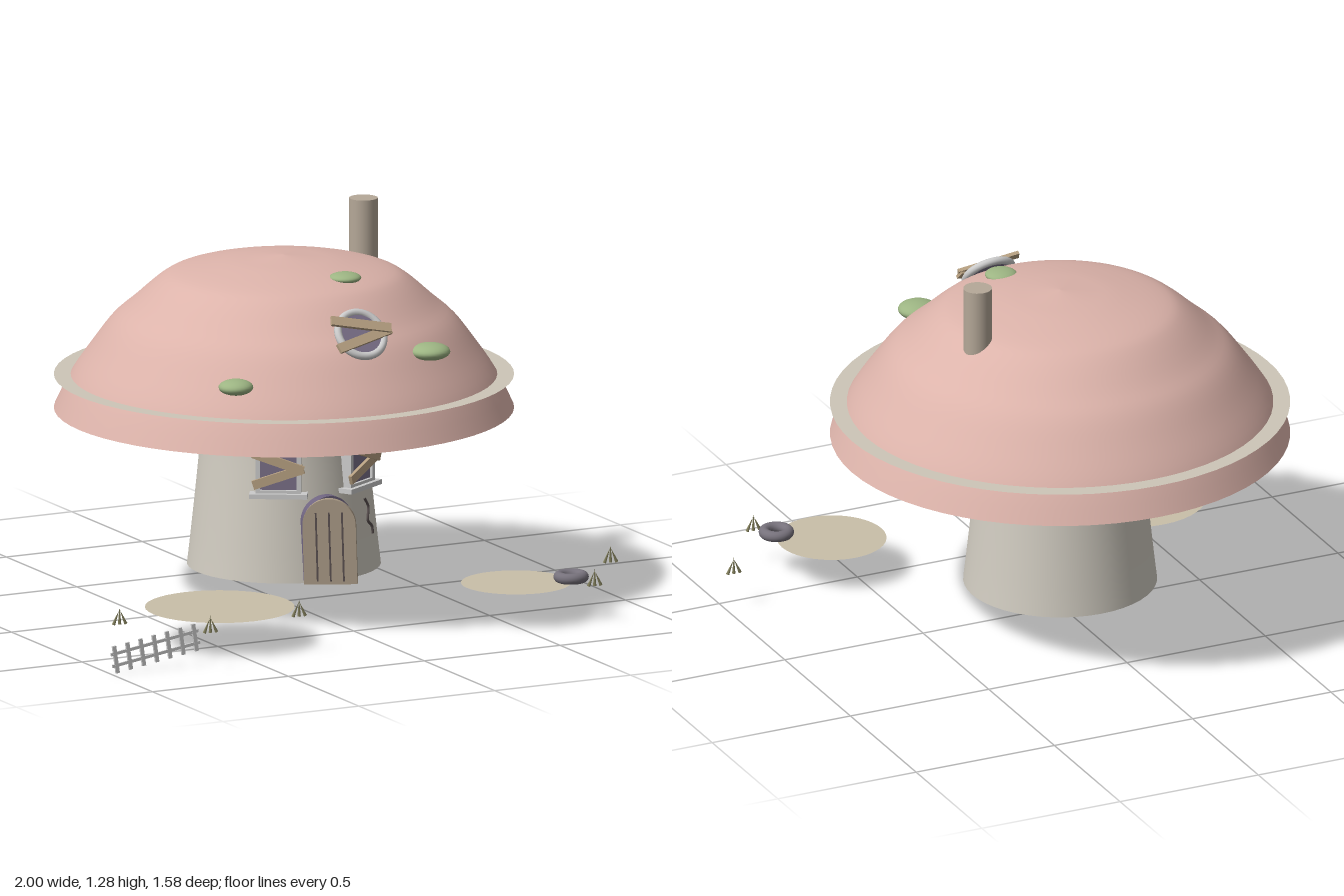
import * as THREE from 'three';

const mat = (color, double = false) =>
  new THREE.MeshStandardMaterial({ color, side: double ? THREE.DoubleSide : THREE.FrontSide });
const M = {
  cap: mat(0xdcb3aa, true), gill: mat(0xcdc6b8, true), stem: mat(0xd0cbc0, true), stone: mat(0xb5a898),
  moss: mat(0x9db583), grey: mat(0xcccccc), glass: mat(0x7a7088), plank: mat(0xb8a182),
  door: mat(0xaa9a86), doorway: mat(0x6f6480), dark: mat(0x5a5050), dirt: mat(0xc9bfa9, true),
  rubber: mat(0x77727c), grass: mat(0x86835f),
};
const CX = 0.022, CZ = -0.037, GROUND = 0.125;

function add(parent, name, geo, material, pos = [0, 0, 0], rot = [0, 0, 0]) {
  const m = new THREE.Mesh(geo, material);
  m.name = name;
  m.position.set(...pos);
  m.rotation.set(...rot);
  parent.add(m);
  return m;
}

function group(parent, name, pos = [0, 0, 0], rot = [0, 0, 0]) {
  const g = new THREE.Group();
  g.name = name;
  g.position.set(...pos);
  g.rotation.set(...rot);
  parent.add(g);
  return g;
}

const box = (x, y, z) => new THREE.BoxGeometry(x, y, z);

// Smooth surface of revolution from [radius, height] points
function lathe(points, segments) {
  const curve = new THREE.SplineCurve(points.map(p => new THREE.Vector2(...p)));
  return new THREE.LatheGeometry(curve.getPoints(36).map(p => p.setX(Math.max(p.x, 0))), segments);
}

// Round-topped slab standing on y = 0, from x = 0 to x = width
function archSlab(width, height, depth) {
  const r = width / 2, s = new THREE.Shape();
  s.moveTo(0, 0);
  s.lineTo(width, 0);
  s.lineTo(width, height - r);
  s.absarc(r, height - r, r, 0, Math.PI, false);
  s.lineTo(0, 0);
  return new THREE.ExtrudeGeometry(s, { depth, bevelEnabled: false, curveSegments: 20 });
}

// Two crossed boards that meet towards the right
function boards(parent, length, width, spread, angle, z) {
  for (const s of [1, -1])
    add(parent, 'board', box(length, width, 0.012), M.plank, [0, s * spread, z + s * 0.004], [0, 0, -s * angle]);
}

function addWindow(house, angle) {
  const pivot = group(house, 'window', [CX, 0.505, CZ], [0, angle, 0]);
  const w = group(pivot, 'windowParts', [0, 0, 0.283]);
  add(w, 'glass', box(0.13, 0.16, 0.03), M.glass, [0, 0, -0.005]);
  for (const s of [1, -1]) {
    add(w, 'frameSide', box(0.014, 0.17, 0.04), M.grey, [s * 0.067, 0, 0]);
    add(w, 'frameRail', box(0.148, 0.014, 0.04), M.grey, [0, s * 0.079, 0]);
  }
  add(w, 'sill', box(0.19, 0.016, 0.06), M.grey, [0, -0.09, 0.005]);
  boards(w, 0.175, 0.03, 0.026, 0.33, 0.028);
}

// Crack drawn on the stem from [angle, radius, height] points
function addCrack(house, points) {
  const pts = points.map(([a, r, y]) => new THREE.Vector3(CX + r * Math.sin(a), y, CZ + r * Math.cos(a)));
  add(house, 'crack', new THREE.TubeGeometry(new THREE.CatmullRomCurve3(pts), 24, 0.005, 6), M.dark);
}

function addGrass(parent, x, z) {
  const g = group(parent, 'grassTuft', [x, GROUND, z]);
  for (const s of [-1, 0, 1])
    add(g, 'blade', new THREE.ConeGeometry(0.006, s ? 0.052 : 0.06, 5), M.grass,
      [s * 0.012, s ? 0.024 : 0.03, 0], [0, 0, s * 0.42]);
}

export function createModel() {
  const model = new THREE.Group();
  model.name = 'mushroomHouse';
  const house = group(model, 'house');

  // Cap, with a flat gill disc that stands proud of it as a rim
  add(house, 'cap', lathe([[0.752, 0.645], [0.697, 0.757], [0.63, 0.855], [0.565, 0.94], [0.5, 0.997],
    [0.41, 1.075], [0.34, 1.108], [0.2, 1.136], [0.1, 1.147], [0, 1.156]], 64), M.cap, [CX, 0, CZ]);
  add(house, 'gillDisc', new THREE.CircleGeometry(0.752, 64), M.gill, [CX, 0.757, CZ], [-Math.PI / 2, 0, 0]);

  // Hollow stem, open below
  add(house, 'stem', lathe([[0.317, GROUND], [0.306, 0.22], [0.287, 0.4], [0.273, 0.55],
    [0.27, 0.645], [0.28, 0.757]], 48), M.stem, [CX, 0, CZ]);

  add(house, 'chimney', new THREE.CylinderGeometry(0.047, 0.047, 0.28, 24), M.stone, [0.382, 1.143, -0.167]);

  // Flat moss pads half sunk into the cap
  for (const [x, y, z, r, h] of [[-0.405, 0.852, 0.445, 0.057, 0.026], [0.275, 0.915, 0.512, 0.066, 0.028],
    [0.11, 1.122, 0.227, 0.053, 0.018]])
    add(house, 'mossPad', new THREE.SphereGeometry(r, 24, 16), M.moss, [x, y, z]).scale.y = h / r;

  // Round boarded window on the cap
  const round = group(house, 'roundWindow', [CX, 0.997, 0.508], [-0.67, 0, 0]);
  add(round, 'ring', new THREE.TorusGeometry(0.08, 0.013, 12, 40), M.grey);
  add(round, 'pane', new THREE.CylinderGeometry(0.08, 0.08, 0.012, 32), M.glass, [0, 0, 0], [Math.PI / 2, 0, 0]);
  boards(round, 0.21, 0.032, 0.025, 0.24, 0.018);

  for (const s of [-1, 1]) addWindow(house, s * 0.54);

  // Doorway with the door swung open on its left-hand hinge
  add(house, 'doorway', archSlab(0.17, 0.285, 0.07), M.doorway, [-0.063, GROUND, 0.212]);
  const door = group(house, 'door', [-0.062, GROUND, 0.272], [0, -0.57, 0.03]);
  add(door, 'doorPanel', archSlab(0.175, 0.285, 0.02), M.door);
  for (const x of [0.045, 0.088, 0.131])
    add(door, 'doorGroove', box(0.006, 0.23, 0.022), M.dark, [x, 0.125, 0.0105]);

  addCrack(house, [[0.64, 0.291, 0.37], [0.72, 0.295, 0.335], [0.67, 0.299, 0.295], [0.76, 0.303, 0.27], [0.77, 0.305, 0.245]]);
  addCrack(house, [[-0.76, 0.27, 0.68], [-0.68, 0.27, 0.64], [-0.73, 0.271, 0.62], [-0.69, 0.272, 0.595]]);

  // Bare patches of ground
  for (const [x, z, r] of [[-0.468, 0.452, 0.245], [0.557, 0.577, 0.18]])
    add(model, 'groundPatch', new THREE.CircleGeometry(r, 40), M.dirt, [x, GROUND, z], [-Math.PI / 2, 0, 0]);

  // Leaning picket fence
  const fence = group(model, 'fence', [-0.835, 0.073, 0.702], [0, 0, 0.15]);
  for (let i = 0; i < 7; i++)
    add(fence, 'picket', box(0.013, 0.092, 0.008), M.grey, [-0.147 + i * 0.049, 0, 0]);
  for (const y of [-0.02, 0.02])
    add(fence, 'rail', box(0.325, 0.01, 0.006), M.grey, [0, y, 0]);

  for (const [x, z] of [[-0.88, 0.535], [-0.673, 0.78], [-0.305, 0.7], [0.762, 0.74], [0.968, 0.455]])
    addGrass(model, x, z);

  add(model, 'tyre', new THREE.TorusGeometry(0.04, 0.018, 14, 32), M.rubber, [0.718, 0.144, 0.658], [Math.PI / 2, 0, 0]);

  return model;
}
